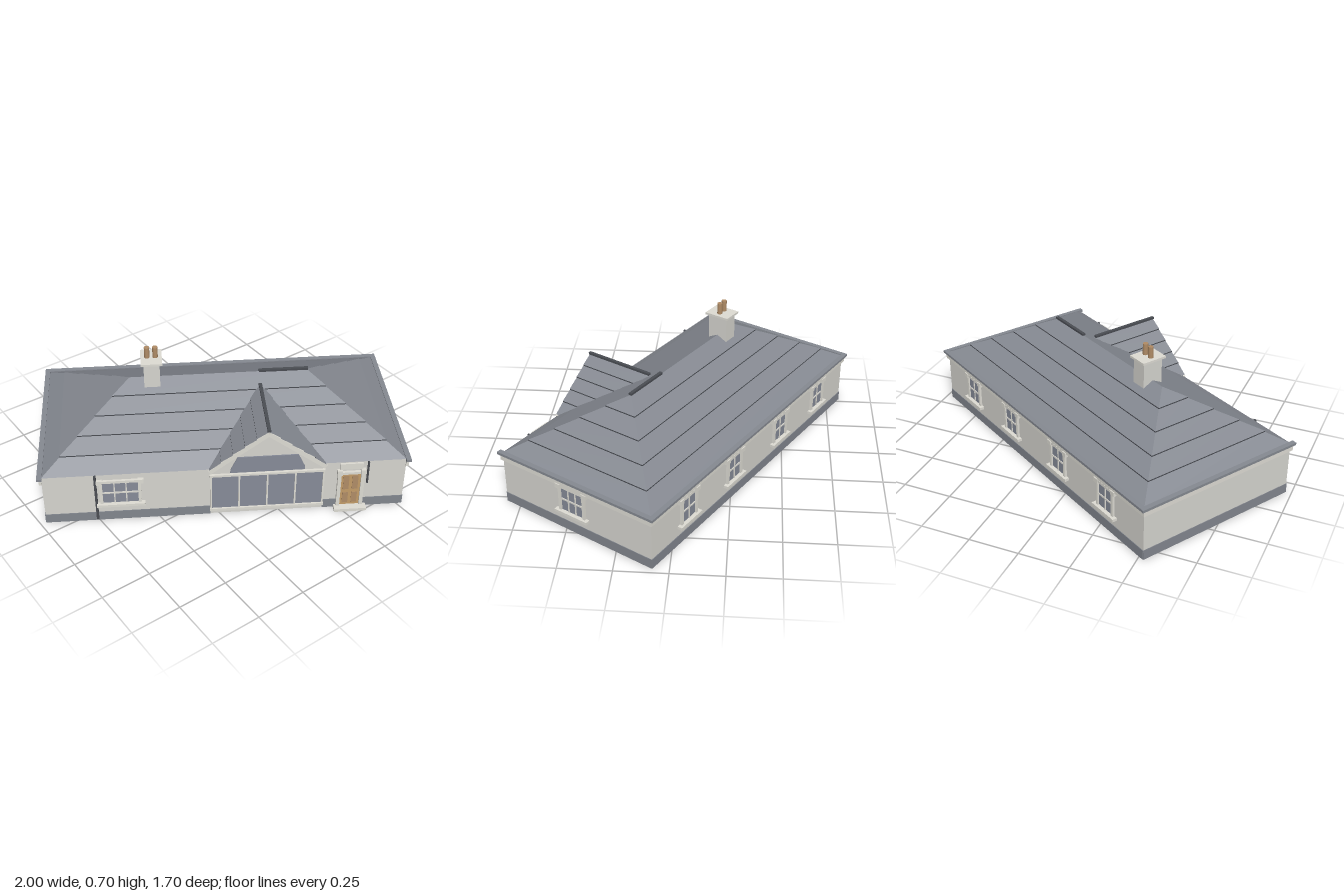
import * as THREE from 'three';

const mat = (name, color, side = THREE.FrontSide) => {
  const m = new THREE.MeshStandardMaterial({ color, side });
  m.name = name;
  return m;
};

export function createModel() {
  const wall = mat('render', 0xd5d4ce);
  const trim = mat('stone trim', 0xdddbd3);
  const slate = mat('slate', 0x858991, THREE.DoubleSide);
  const dark = mat('dark slate', 0x4a4d53, THREE.DoubleSide);
  const plinthMat = mat('plinth grey', 0x82868e);
  const glass = mat('glass', 0x868b98);
  const wood = mat('door wood', 0xc29c68);
  const clay = mat('clay', 0xb08c66);

  const root = new THREE.Group();
  const house = new THREE.Group();
  house.name = 'house';
  house.rotation.y = -THREE.MathUtils.degToRad(31);
  root.add(house);

  const add = (parent, name, geo, m) => {
    const mesh = new THREE.Mesh(geo, m);
    mesh.name = name;
    parent.add(mesh);
    return mesh;
  };
  // Box given by its limits on each axis
  const box = (parent, name, m, x0, x1, y0, y1, z0, z1) => {
    const b = add(parent, name, new THREE.BoxGeometry(x1 - x0, y1 - y0, z1 - z0), m);
    b.position.set((x0 + x1) / 2, (y0 + y1) / 2, (z0 + z1) / 2);
    return b;
  };
  const quads = (parent, name, m, list) => {
    const pos = [];
    for (const [a, b, c, d] of list) pos.push(...a, ...b, ...c, ...a, ...c, ...d);
    const g = new THREE.BufferGeometry();
    g.setAttribute('position', new THREE.Float32BufferAttribute(pos, 3));
    g.computeVertexNormals();
    return add(parent, name, g, m);
  };
  const polygon = (points) => new THREE.Shape(points.map(([x, y]) => new THREE.Vector2(x, y)));

  const A = 0.872, B = 0.433, EAVE = 0.28, RIDGE = 0.53, T = 0.012;
  const GX = 0.2, GW = 0.28, GTOP = 0.495; // gable centre, half width, apex

  // Walls, open underneath
  const front = add(house, 'frontWall', new THREE.ExtrudeGeometry(polygon([
    [-A, 0], [A, 0], [A, EAVE], [GX + GW, EAVE], [GX, GTOP], [GX - GW, EAVE], [-A, EAVE],
  ]), { depth: T, bevelEnabled: false }), wall);
  front.position.z = B - T;
  box(house, 'backWall', wall, -A, A, 0, EAVE, -B, -B + T);
  for (const s of [-1, 1]) {
    const x = s * (A - T / 2);
    box(house, 'endWall', wall, x - T / 2, x + T / 2, 0, EAVE, -B, B);
    box(house, 'endPlinth', plinthMat, s * A - 0.003, s * A + 0.003, 0, 0.05, -B, B);
    const e = s * 0.8805, f = s * 0.877;
    box(house, 'endGutter', slate, e - 0.0125, e + 0.0125, 0.274, 0.287, -0.455, 0.45);
    box(house, 'endFascia', trim, f - 0.007, f + 0.007, 0.243, 0.274, -0.444, 0.44);
  }
  box(house, 'backPlinth', plinthMat, -A, A, 0, 0.05, -B - 0.003, -B + 0.003);
  for (const [x0, x1] of [[-A, GX - 0.275], [GX + 0.275, 0.55], [0.665, A]]) {
    box(house, 'frontPlinth', plinthMat, x0, x1, 0, 0.05, B - 0.003, B + 0.003);
  }
  box(house, 'backGutter', slate, -0.893, 0.893, 0.274, 0.287, -0.455, -0.43);
  box(house, 'backFascia', trim, -0.884, 0.884, 0.243, 0.274, -0.444, -0.43);

  // Hipped roof in overlapping courses with dark lower lips
  const COURSES = 5, LIP = 0.006;
  const ring = (t, lift) => {
    const d = B * t, y = EAVE + (RIDGE - EAVE) * t + lift;
    return [[-A + d, y, B - d], [A - d, y, B - d], [A - d, y, -B + d], [-A + d, y, -B + d]];
  };
  const band = (lo, hi) => lo.map((p, i) => [p, lo[(i + 1) % 4], hi[(i + 1) % 4], hi[i]]);
  const slopes = [], lips = [];
  for (let k = 0; k < COURSES; k++) {
    const t0 = k / COURSES, t1 = (k + 1) / COURSES;
    slopes.push(...band(ring(t0, k ? LIP : 0), ring(t1, 0)));
    if (k) lips.push(...band(ring(t0, -0.001), ring(t0, LIP)));
  }
  quads(house, 'mainRoof', slate, slopes);
  quads(house, 'mainRoofCourseLips', dark, lips);

  // Gabled cross roof
  const gSlopes = [], gLips = [];
  const edge = (s, t, lift) => {
    const y = EAVE + (GTOP - EAVE) * t + lift + 0.003;
    const zBack = B * (1 - t * (GTOP - EAVE) / (RIDGE - EAVE)) - 0.004;
    const x = GX + s * GW * (1 - t);
    return [[x, y, B + 0.012], [x, y, zBack]];
  };
  const strip = ([a, b], [c, d]) => [a, b, d, c];
  for (const s of [-1, 1]) {
    for (let k = 0; k < COURSES; k++) {
      const t0 = k / COURSES, t1 = (k + 1) / COURSES;
      gSlopes.push(strip(edge(s, t0, k ? LIP : 0), edge(s, t1, 0)));
      if (k) gLips.push(strip(edge(s, t0, -0.001), edge(s, t0, LIP)));
    }
    // Sloping verge board
    const len = Math.hypot(GW, GTOP - EAVE);
    const board = add(house, 'vergeBoard', new THREE.BoxGeometry(len, 0.022, 0.012), trim);
    board.position.set(GX + s * GW / 2, (EAVE + GTOP) / 2 - 0.012, B + 0.006);
    board.rotation.z = -s * Math.atan2(GTOP - EAVE, GW);
  }
  quads(house, 'gableRoof', slate, gSlopes);
  quads(house, 'gableRoofCourseLips', dark, gLips);
  box(house, 'gableRidgeCap', dark, GX - 0.008, GX + 0.008, 0.498, 0.509, 0.07, B + 0.014);
  box(house, 'mainRidgeCap', dark, 0.2, 0.445, 0.53, 0.541, -0.008, 0.008);

  // Sash window facing +z, glazing centred on x = 0
  const makeWindow = (name, w, y0, y1, cols, rows, x, z, turn) => {
    const g = new THREE.Group();
    g.name = name;
    const h = w / 2;
    box(g, 'pane', glass, -h, h, y0, y1, 0, 0.004);
    for (const s of [-1, 1]) {
      box(g, 'jamb', trim, s * (h + 0.007) - 0.007, s * (h + 0.007) + 0.007, y0, y1, 0, 0.012);
      box(g, 'cornerBlock', trim, s * (h + 0.014) - 0.014, s * (h + 0.014) + 0.014, y1 - 0.005, y1 + 0.018, 0, 0.016);
    }
    box(g, 'lintel', trim, -h, h, y1, y1 + 0.014, 0, 0.012);
    box(g, 'sill', trim, -h - 0.032, h + 0.032, y0 - 0.014, y0, 0, 0.024);
    for (let i = 1; i < cols; i++) {
      const bx = -h + w * i / cols;
      box(g, 'glazingBar', trim, bx - 0.003, bx + 0.003, y0, y1, 0, 0.008);
    }
    for (let i = 1; i < rows; i++) {
      const by = y0 + (y1 - y0) * i / rows;
      box(g, 'glazingBar', trim, -h, h, by - 0.004, by + 0.004, 0, 0.008);
    }
    g.position.set(x, 0, z);
    g.rotation.y = turn;
    house.add(g);
  };
  makeWindow('frontWindow', 0.17, 0.11, 0.235, 3, 2, -0.505, B, 0);
  makeWindow('endWindow', 0.125, 0.108, 0.232, 3, 2, A, 0.012, Math.PI / 2);
  for (const x of [0.594, 0.215, -0.21, -0.594]) {
    makeWindow('backWindow', 0.1, 0.106, 0.23, 2, 2, x, -B, Math.PI);
  }

  // Glazed doors and gable light
  box(house, 'glazedDoors', glass, GX - 0.272, GX + 0.272, 0.035, 0.24, B, B + 0.005);
  for (let i = 0; i <= 4; i++) {
    const x = GX - 0.272 + 0.136 * i;
    box(house, 'doorMullion', trim, x - 0.004, x + 0.004, 0.035, 0.24, B, B + 0.011);
  }
  box(house, 'doorHead', trim, GX - 0.278, GX + 0.278, 0.238, 0.25, B, B + 0.012);
  box(house, 'doorSill', trim, GX - 0.278, GX + 0.278, 0.025, 0.038, B, B + 0.014);
  const light = add(house, 'gableLight', new THREE.ExtrudeGeometry(polygon([
    [GX - 0.18, 0.255], [GX + 0.18, 0.255], [GX + 0.178, 0.275], [GX + 0.145, 0.348], [GX - 0.145, 0.348], [GX - 0.178, 0.275],
  ]), { depth: 0.005, bevelEnabled: false }), glass);
  light.position.z = B;

  // Entrance door with surround, hood and step
  const DX = 0.607;
  box(house, 'door', wood, DX - 0.048, DX + 0.048, 0.016, 0.212, B, B + 0.006);
  for (const s of [-1, 1]) {
    const x = DX + s * 0.057, p = DX + s * 0.022;
    box(house, 'doorPilaster', trim, x - 0.009, x + 0.009, 0.016, 0.225, B, B + 0.014);
    box(house, 'doorBracket', trim, x - 0.012, x + 0.012, 0.212, 0.24, B, B + 0.02);
    for (const [y0, y1] of [[0.03, 0.095], [0.115, 0.2]]) {
      box(house, 'doorPanel', clay, p - 0.014, p + 0.014, y0, y1, B, B + 0.009);
    }
  }
  box(house, 'doorLintel', trim, DX - 0.06, DX + 0.06, 0.212, 0.226, B, B + 0.014);
  box(house, 'doorHood', trim, DX - 0.055, DX + 0.055, 0.242, 0.276, B, B + 0.01);
  box(house, 'doorStep', trim, 0.53, 0.688, 0, 0.016, B - 0.01, 0.476);

  // Rainwater pipes
  box(house, 'downpipe', dark, -0.628, -0.616, 0.01, 0.28, B, B + 0.012);
  box(house, 'downpipe', dark, 0.684, 0.692, 0.15, 0.28, B, B + 0.01);

  // Chimney with two pots
  const CX = -0.328;
  box(house, 'chimneyStack', wall, CX - 0.039, CX + 0.039, 0.49, 0.634, -0.053, 0.053);
  box(house, 'chimneyCap', trim, CX - 0.052, CX + 0.052, 0.634, 0.645, -0.066, 0.066);
  for (const s of [-1, 1]) {
    const pot = add(house, 'chimneyPot', new THREE.CylinderGeometry(0.013, 0.013, 0.058, 12), clay);
    pot.position.set(CX + s * 0.02, 0.673, 0);
  }
  return root;
}
